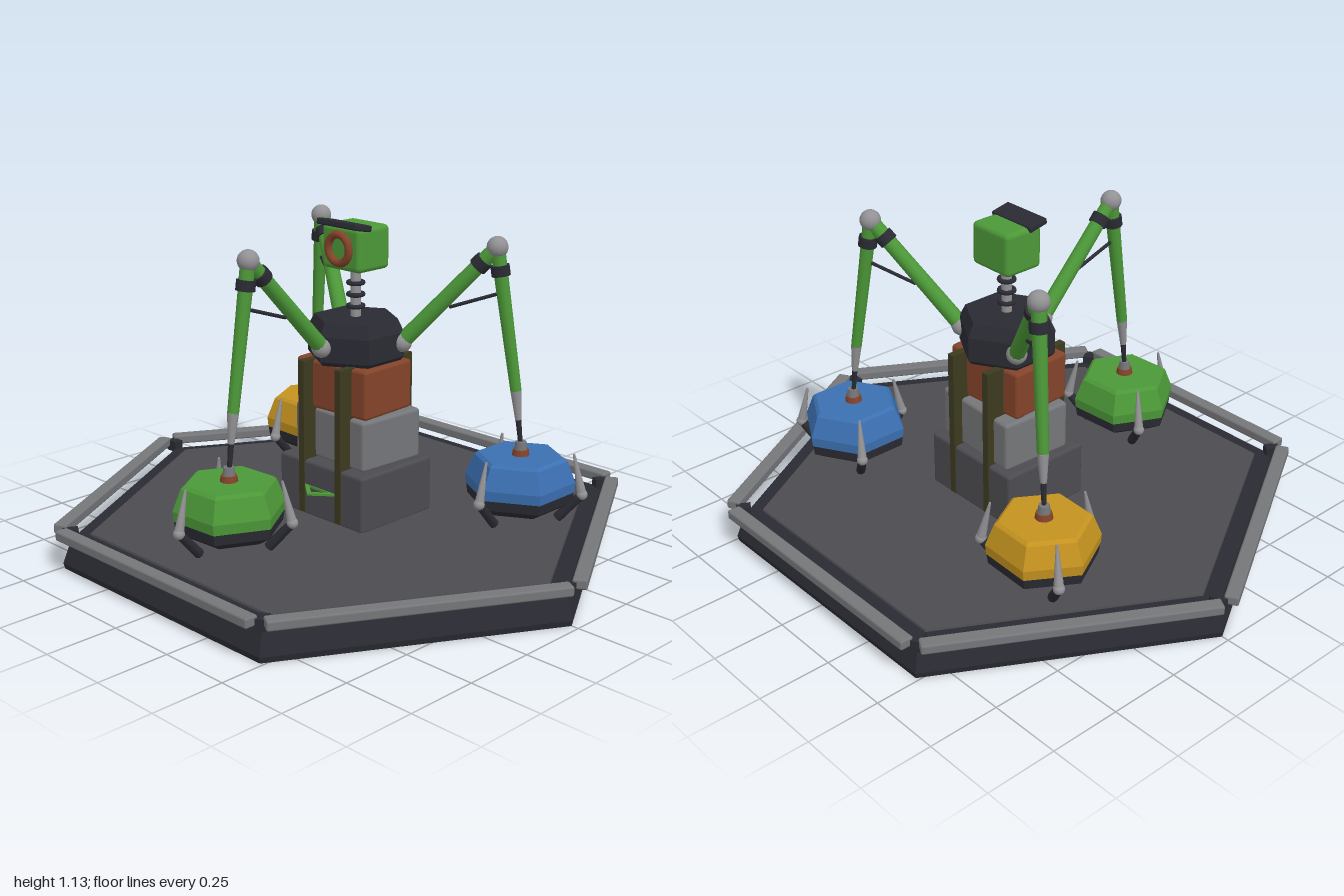
import * as THREE from 'three';
import { toCreasedNormals } from 'three/addons/utils/BufferGeometryUtils.js';
import { RoundedBoxGeometry } from 'three/addons/geometries/RoundedBoxGeometry.js';

const paint = (name, color) => {
  const m = new THREE.MeshStandardMaterial({ color });
  m.name = name;
  return m;
};
const V = (x, y, z) => new THREE.Vector3(x, y, z);

export function createModel() {
  const dark = paint('dark navy', 0x2a2a33);
  const slate = paint('slate', 0x4c4b50);
  const grey = paint('grey', 0x757679);
  const silver = paint('silver', 0x929295);
  const green = paint('green', 0x4c9838);
  const yellow = paint('yellow', 0xc4921f);
  const blue = paint('blue', 0x3b70b2);
  const brown = paint('rust brown', 0x84432a);
  const olive = paint('olive', 0x3d3a20);

  const model = new THREE.Group();
  model.name = 'hexagonalRobotPlatform';

  const add = (parent, name, geo, mat, x = 0, y = 0, z = 0) => {
    const mesh = new THREE.Mesh(geo, mat);
    mesh.name = name;
    mesh.position.set(x, y, z);
    parent.add(mesh);
    return mesh;
  };
  const group = (parent, name, x = 0, y = 0, z = 0) => {
    const g = new THREE.Group();
    g.name = name;
    g.position.set(x, y, z);
    parent.add(g);
    return g;
  };
  // Faceted six-sided solid from [radius, height] pairs, bottom to top
  const hexSolid = (profile) => toCreasedNormals(
    new THREE.LatheGeometry(profile.map(([r, y]) => new THREE.Vector2(r, y)), 6), 0.2);
  // Tapered rod between two points
  const rod = (parent, name, a, b, ra, rb, mat, sides = 10) => {
    const dir = b.clone().sub(a);
    const geo = new THREE.CylinderGeometry(rb, ra, dir.length(), sides);
    const mesh = add(parent, name, geo, mat);
    mesh.position.copy(a).add(b).multiplyScalar(0.5);
    mesh.quaternion.setFromUnitVectors(V(0, 1, 0), dir.normalize());
    return mesh;
  };
  const ball = (parent, name, p, r, mat) =>
    add(parent, name, new THREE.SphereGeometry(r, 16, 12), mat, p.x, p.y, p.z);

  // Platform: bevelled hexagonal base and deck plate
  const platform = group(model, 'platform');
  add(platform, 'base', hexSolid([[0, 0], [0.975, 0], [0.98, 0.02], [0.95, 0.1], [0.94, 0.11], [0, 0.11]]),
    dark).rotation.y = Math.PI / 6;
  add(platform, 'deck', hexSolid([[0.89, 0.1], [0.885, 0.117], [0, 0.117]]), slate).rotation.y = Math.PI / 6;

  // Rails along the six edges, with posts at the corners
  for (let i = 0; i < 6; i++) {
    const side = group(platform, 'railSide');
    side.rotation.y = i * Math.PI / 3;
    add(side, 'rail', new RoundedBoxGeometry(0.95, 0.034, 0.048, 2, 0.007), grey, 0, 0.133, 0.862);
    const corner = group(platform, 'corner');
    corner.rotation.y = (i + 0.5) * Math.PI / 3;
    add(corner, 'cornerPost', new THREE.BoxGeometry(0.035, 0.04, 0.05), dark, 0, 0.12, 0.95);
  }

  // Central stack of crates
  const tower = group(model, 'tower', 0, 0, -0.04);
  add(tower, 'lowerCrate', new RoundedBoxGeometry(0.4, 0.2, 0.34, 2, 0.012), slate, 0, 0.21, 0);
  add(tower, 'middleCrate', new RoundedBoxGeometry(0.345, 0.175, 0.265, 2, 0.012), grey, 0, 0.398, -0.01)
    .rotation.y = -0.05;
  add(tower, 'upperCrate', new RoundedBoxGeometry(0.315, 0.17, 0.235, 2, 0.012), brown, 0, 0.572, 0.008)
    .rotation.y = 0.05;
  for (const s of [-1, 1]) {
    add(tower, 'strap', new THREE.BoxGeometry(0.026, 0.54, 0.348), olive, s * 0.087, 0.39, 0);
  }

  // Flat triangular bracket on the lower crate
  const tri = (w, back, tip) => [[-w, back], [w, back], [0, tip]].map(([x, y]) => new THREE.Vector2(x, y));
  const bracketShape = new THREE.Shape(tri(0.085, 0, 0.07));
  bracketShape.holes.push(new THREE.Path(tri(0.05, 0.012, 0.05).reverse()));
  add(tower, 'bracket', new THREE.ExtrudeGeometry(bracketShape, { depth: 0.008, bevelEnabled: false }),
    green, 0, 0.224, 0.162).rotation.x = Math.PI / 2;

  // Hexagonal body and ringed neck
  add(tower, 'body', hexSolid([[0, 0.655], [0.155, 0.655], [0.168, 0.67], [0.168, 0.755], [0.145, 0.8], [0, 0.8]]),
    dark);
  add(tower, 'neck', new THREE.CylinderGeometry(0.018, 0.018, 0.2, 16), silver, 0, 0.885, 0);
  for (const y of [0.835, 0.875, 0.915]) {
    add(tower, 'neckRing', new THREE.TorusGeometry(0.025, 0.008, 8, 20), dark, 0, y, 0).rotation.x = Math.PI / 2;
  }

  // Head with ringed eye and tilted visor
  const head = group(tower, 'head', 0, 1.04, 0);
  add(head, 'skull', new RoundedBoxGeometry(0.176, 0.15, 0.15, 2, 0.018), green);
  add(head, 'eyeRing', new THREE.TorusGeometry(0.048, 0.014, 10, 28), brown, 0, 0, 0.08);
  add(head, 'visor', new RoundedBoxGeometry(0.188, 0.022, 0.075, 2, 0.006), dark, 0, 0.077, 0.055)
    .rotation.x = -0.2;

  // Three jointed arms, each laid out outwards along +z
  const shoulder = V(0, 0.72, 0.16), elbow = V(0, 1.06, 0.475);
  const sleeveEnd = V(0, 0.58, 0.55), wrist = V(0, 0.38, 0.573);
  for (let i = 0; i < 3; i++) {
    const arm = group(tower, 'arm');
    arm.rotation.y = i * Math.PI * 2 / 3;
    ball(arm, 'shoulderJoint', shoulder, 0.035, silver);
    rod(arm, 'upperArm', shoulder, elbow, 0.028, 0.025, green, 10);
    ball(arm, 'elbowJoint', elbow, 0.036, silver);
    rod(arm, 'forearm', elbow, sleeveEnd, 0.025, 0.019, green, 10);
    for (const end of [shoulder, sleeveEnd]) {
      const d = end.clone().sub(elbow).normalize();
      rod(arm, 'armBand', elbow.clone().addScaledVector(d, 0.06), elbow.clone().addScaledVector(d, 0.095),
        0.032, 0.032, dark, 14);
    }
    rod(arm, 'strut', V(0, 0.85, 0.32), V(0, 0.908, 0.49), 0.006, 0.006, dark, 8);
    const mid = sleeveEnd.clone().lerp(wrist, 0.5);
    rod(arm, 'wristCone', sleeveEnd, mid, 0.019, 0.011, silver, 10);
    rod(arm, 'wristRod', mid, wrist, 0.01, 0.007, dark, 8);
  }

  // Three pods below the arms, each with three bent claws
  const pods = [
    ['greenPod', green, 0, 0.58],
    ['bluePod', blue, 1, 0],
    ['yellowPod', yellow, 2, 0.48],
  ];
  for (const [name, mat, k, turn] of pods) {
    const a = k * Math.PI * 2 / 3;
    const pod = group(model, name, Math.sin(a) * 0.573, 0, -0.04 + Math.cos(a) * 0.573);
    add(pod, 'shell', hexSolid([[0.184, 0.24], [0.187, 0.275], [0.158, 0.348], [0.145, 0.358], [0, 0.358]]), mat)
      .rotation.y = turn;
    add(pod, 'underside', hexSolid([[0, 0.175], [0.13, 0.175], [0.178, 0.205], [0.184, 0.245], [0, 0.245]]), dark)
      .rotation.y = turn;
    add(pod, 'collar', new THREE.CylinderGeometry(0.026, 0.03, 0.022, 16), brown, 0, 0.367, 0);
    add(pod, 'socket', new THREE.CylinderGeometry(0.018, 0.022, 0.03, 12), grey, 0, 0.39, 0);
    for (let j = 0; j < 3; j++) {
      const claw = group(pod, 'claw');
      claw.rotation.y = j * Math.PI * 2 / 3;
      const knee = V(0, 0.235, 0.21);
      rod(claw, 'clawLeg', V(0, 0.145, 0.13), knee, 0.017, 0.015, dark, 8);
      ball(claw, 'clawKnee', knee, 0.019, silver);
      rod(claw, 'clawSpike', knee, V(0, 0.375, 0.178), 0.017, 0.004, silver, 10);
    }
  }
  return model;
}
